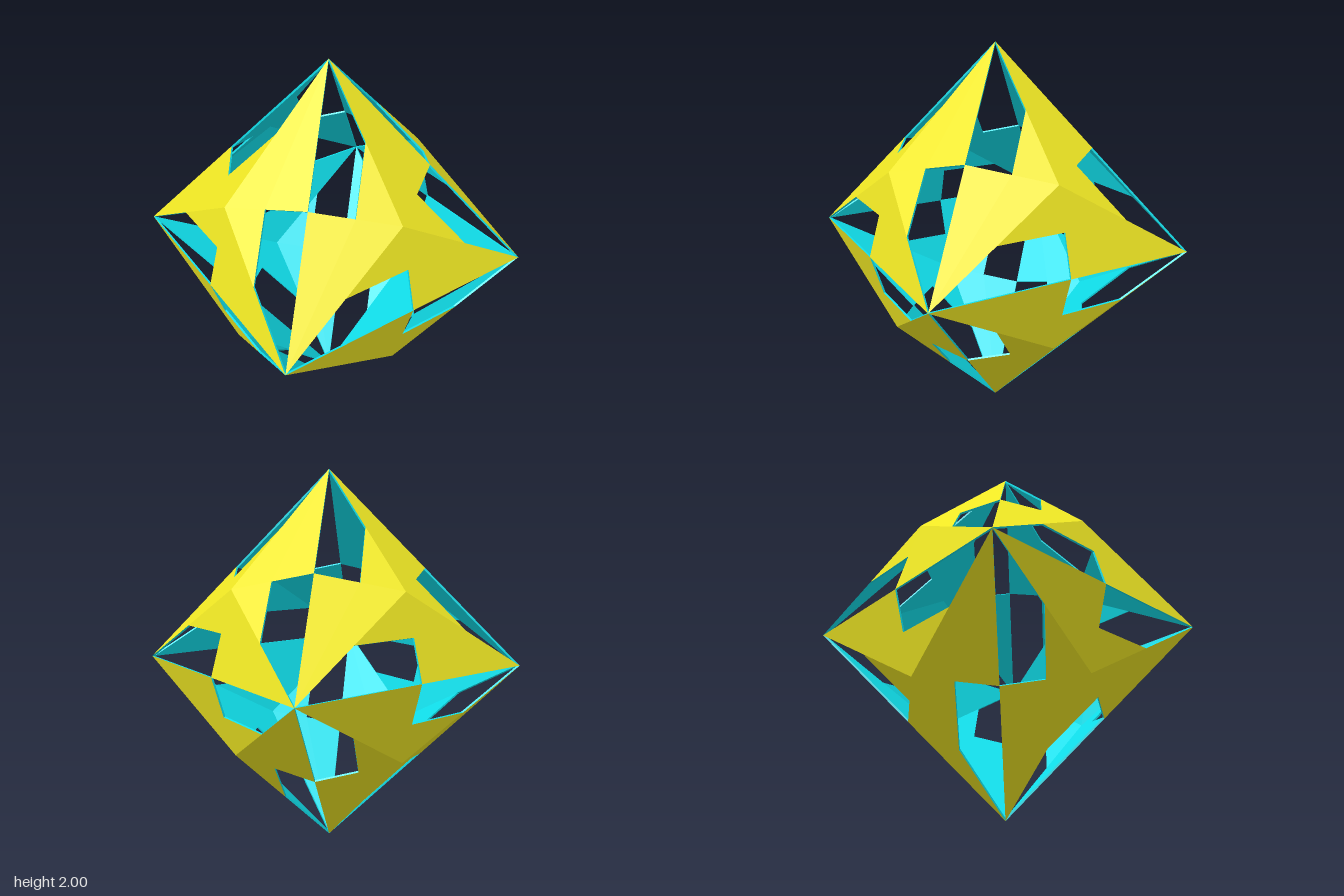
import * as THREE from 'three';

const APEX = Math.SQRT2 - 1; // height of each low pyramid on an octahedron face
const INNER = 0.986;         // inner skin scale, gives the thin wall

function flatMesh(name, triangles, color) {
  const geometry = new THREE.BufferGeometry().setFromPoints(triangles);
  geometry.computeVertexNormals();
  const mesh = new THREE.Mesh(geometry, new THREE.MeshStandardMaterial({ color, flatShading: true }));
  mesh.name = name;
  return mesh;
}

// One pyramid side a-b-p with the kite-shaped quarter at corner a cut away
function addPanel(a, b, p, outer, inner) {
  const mid = (u, v) => u.clone().lerp(v, 0.5);
  const shrink = (v) => v.clone().multiplyScalar(INNER);
  const m = mid(a, b), q = mid(m, p), r = mid(a, p);

  // outer and inner skins
  for (const [u, v, w] of [[q, m, b], [q, b, p], [q, p, r]]) {
    outer.push(u, v, w);
    inner.push(shrink(w), shrink(v), shrink(u));
  }
  // walls along the exposed edges
  for (const [u, v] of [[m, b], [b, mid(b, p)], [r, q], [q, m]]) {
    const u2 = shrink(u), v2 = shrink(v);
    inner.push(u2, v2, v, u2, v, u);
  }
}

export function createModel() {
  const model = new THREE.Group();
  model.name = 'openTriakisOctahedron';

  for (const sx of [1, -1]) for (const sy of [1, -1]) for (const sz of [1, -1]) {
    const x = new THREE.Vector3(sx, 0, 0);
    const y = new THREE.Vector3(0, sy, 0);
    const z = new THREE.Vector3(0, 0, sz);
    const p = new THREE.Vector3(sx, sy, sz).multiplyScalar(APEX);
    // corners counter-clockwise as seen from outside
    const c = sx * sy * sz > 0 ? [x, y, z] : [y, x, z];
    const outer = [], inner = [];
    for (let i = 0; i < 3; i++) addPanel(c[i], c[(i + 1) % 3], p, outer, inner);

    const pyramid = new THREE.Group();
    pyramid.name = 'pyramid';
    pyramid.add(flatMesh('outerSkin', outer, 0xf0e824), flatMesh('innerSkin', inner, 0x10e0ec));
    pyramid.position.y = 1;
    model.add(pyramid);
  }
  return model;
}
